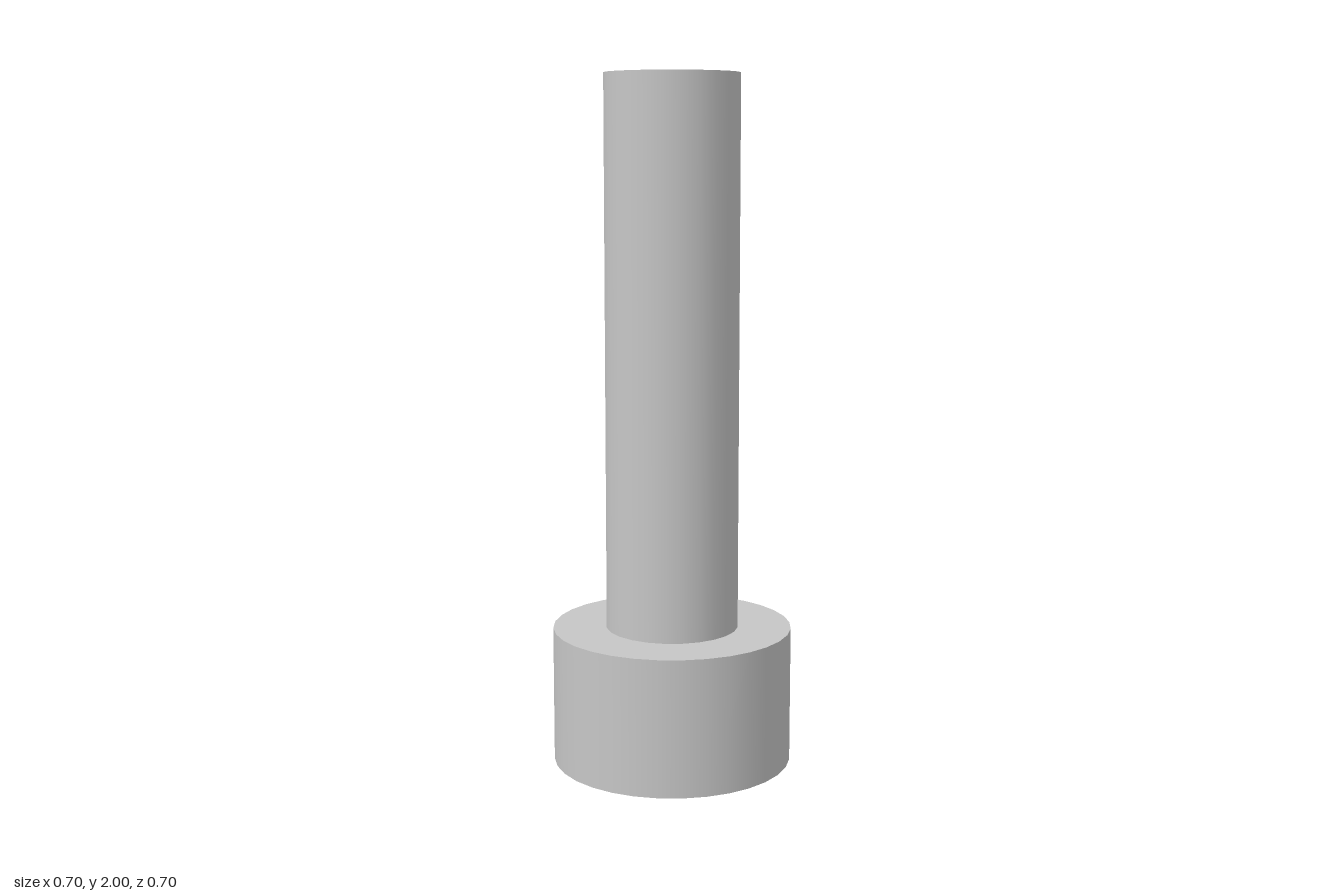
import * as THREE from 'three';

const HEAD_R = 0.35, HEAD_H = 0.4, HEAD_SIDES = 32;
const SHANK_R = 0.194, SHANK_TOP = 2, SHANK_SIDES = 24;
const SOCKET_R = 0.19, SOCKET_DEPTH = 0.25;

// Corners of a regular polygon, the first one on +x
function polygon(radius, sides) {
  return Array.from({ length: sides }, (_, i) => {
    const a = (i / sides) * Math.PI * 2;
    return new THREE.Vector2(Math.cos(a) * radius, Math.sin(a) * radius);
  });
}

// Flat horizontal face at height y, facing up (1) or down (-1), with an optional hole
function flatFace(outer, hole, y, facing) {
  const shape = new THREE.Shape(outer);
  if (hole) shape.holes.push(new THREE.Path(hole));
  return new THREE.ShapeGeometry(shape).rotateX(-facing * Math.PI / 2).translate(0, y, 0);
}

// Open smooth wall of a cylinder between two heights
function wall(radius, sides, y0, y1) {
  return new THREE.CylinderGeometry(radius, radius, y1 - y0, sides, 1, true, Math.PI / 2)
    .translate(0, (y0 + y1) / 2, 0);
}

export function createModel() {
  const steel = new THREE.MeshStandardMaterial({ color: 0xc6c6c6 });
  steel.name = 'steel';

  const model = new THREE.Group();
  model.name = 'socketHeadBolt';
  const add = (name, geometry) => {
    const mesh = new THREE.Mesh(geometry, steel);
    mesh.name = name;
    model.add(mesh);
  };

  const headRim = polygon(HEAD_R, HEAD_SIDES);
  const shankRim = polygon(SHANK_R, SHANK_SIDES);
  const hexagon = polygon(SOCKET_R, 6);

  // Head: round wall, shoulder around the shank, and end face with the hexagonal opening
  add('headWall', wall(HEAD_R, HEAD_SIDES, 0, HEAD_H));
  add('headShoulder', flatFace(headRim, shankRim, HEAD_H, 1));
  add('headEndFace', flatFace(headRim, hexagon, 0, -1));

  // Hexagonal socket: flat walls turned inward, and a floor
  const socket = wall(SOCKET_R, 6, 0, SOCKET_DEPTH).toNonIndexed().scale(-1, 1, 1);
  socket.computeVertexNormals();
  add('socketWalls', socket);
  add('socketFloor', flatFace(hexagon, null, SOCKET_DEPTH, -1));

  // Plain shank with a flat tip
  add('shankWall', wall(SHANK_R, SHANK_SIDES, HEAD_H, SHANK_TOP));
  add('shankTip', flatFace(shankRim, null, SHANK_TOP, 1));

  return model;
}
